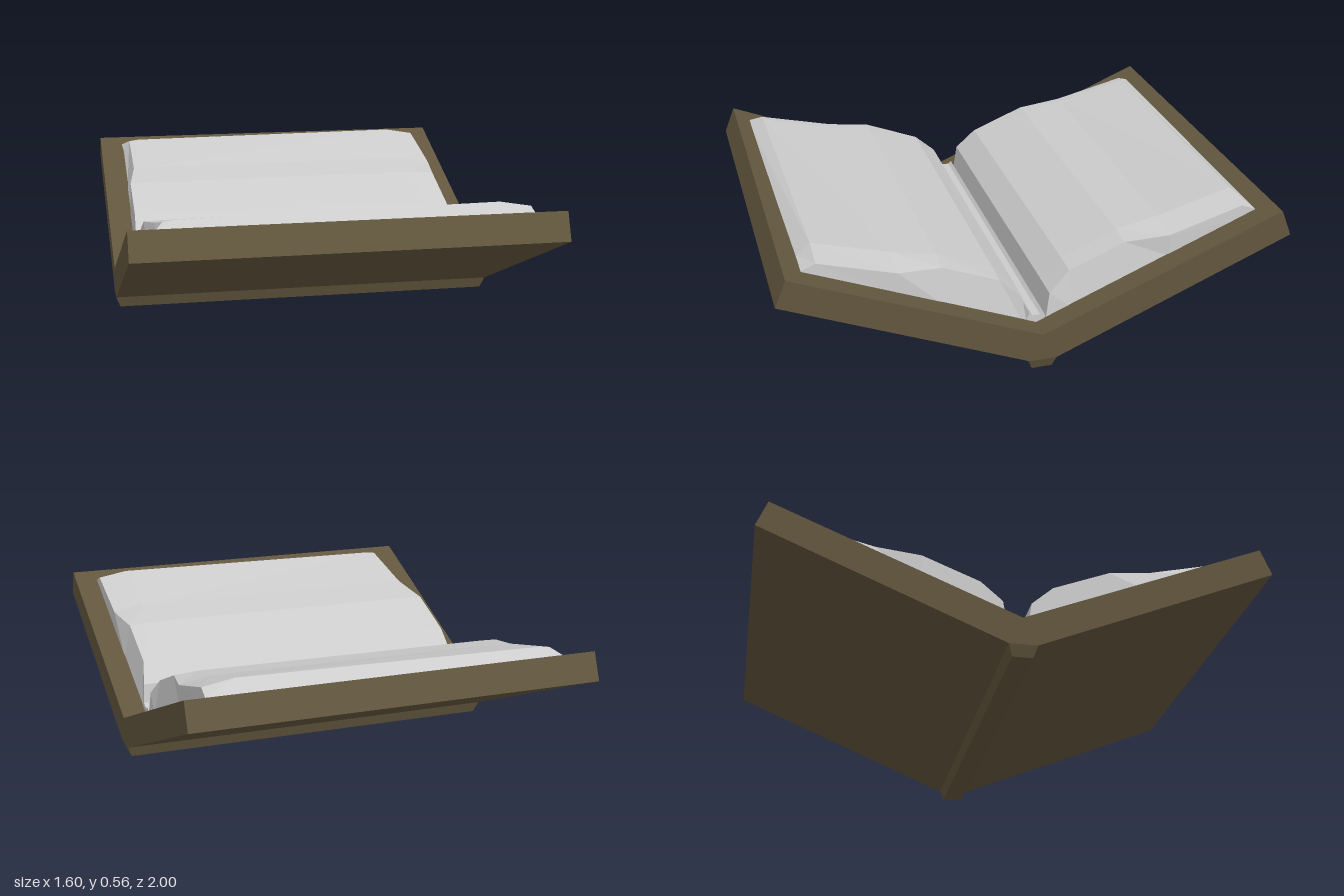
import * as THREE from 'three';

const WIDTH = 1.6;
const coverMat = new THREE.MeshStandardMaterial({ color: 0x62563d, flatShading: true });
const pageMat = new THREE.MeshStandardMaterial({ color: 0xcccccc, flatShading: true, side: THREE.DoubleSide });

// Height of the cover's inner face at distance z from the gutter
const coverTop = (z) => 0.155 + 0.406 * Math.abs(z);

function named(geometry, material, name) {
  const mesh = new THREE.Mesh(geometry, material);
  mesh.name = name;
  return mesh;
}

// Two boards opened in a V, as one extruded section
function makeCover() {
  const shape = new THREE.Shape([
    [-0.055, 0.045], [0.055, 0.045], [1, 0.44], [0.957, 0.546],
    [0, 0.155], [-0.957, 0.546], [-1, 0.44],
  ].map(([z, y]) => new THREE.Vector2(z, y)));
  const geo = new THREE.ExtrudeGeometry(shape, { depth: WIDTH, bevelEnabled: false });
  geo.translate(0, 0, -WIDTH / 2).rotateY(Math.PI / 2);
  return named(geo, coverMat, 'cover');
}

// Spine strip, tapered toward the ground
function makeSpine() {
  const geo = new THREE.BoxGeometry(WIDTH, 0.045, 0.11).translate(0, 0.0225, 0);
  const p = geo.attributes.position;
  for (let i = 0; i < p.count; i++) {
    if (p.getY(i) < 0.01) {
      p.setX(i, Math.sign(p.getX(i)) * 0.783);
      p.setZ(i, Math.sign(p.getZ(i)) * 0.04);
    }
  }
  return named(geo, coverMat, 'spine');
}

// Page block: sections from fore edge to gutter, mirrored to the other half
function makePages() {
  // z, ridge y, left edge x and y, right edge x and y
  const half = [
    [0.895, 0.520, -0.705, 0.520, 0.705, 0.520],
    [0.840, 0.563, -0.670, 0.545, 0.703, 0.542],
    [0.540, 0.479, -0.672, 0.472, 0.705, 0.456],
    [0.365, 0.445, -0.700, 0.437, 0.677, 0.437],
    [0.140, 0.351, -0.700, 0.347, 0.677, 0.347],
    [0.055, 0.272, -0.703, 0.270, 0.697, 0.270],
    [0.040, 0.170, -0.705, 0.170, 0.705, 0.170],
    [0.027, 0.200, -0.705, 0.200, 0.705, 0.200],
    [0.015, 0.187, -0.705, 0.187, 0.705, 0.187],
  ];
  const rows = [...half, ...half.map(([z, ...rest]) => [-z, ...rest]).reverse()];
  const positions = [];
  for (const [z, y, xl, yl, xr, yr] of rows) {
    const base = coverTop(z) - 0.01;
    const slant = Math.sign(z) * Math.min(0.006, Math.abs(z) * 0.008);
    positions.push(
      -0.705, base, z,
      xl, yl, z + slant,
      -0.63, yl + (y - yl) * 0.3, z + slant,
      0.58, y, z - slant,
      xr, yr, z - slant,
      0.705, base, z,
    );
  }
  const index = [];
  const cols = 6;
  for (let i = 0; i < rows.length - 1; i++) {
    for (let j = 0; j < cols - 1; j++) {
      const a = i * cols + j, b = a + 1, c = b + cols, d = a + cols;
      index.push(a, b, c, a, c, d);
    }
  }
  const geo = new THREE.BufferGeometry();
  geo.setAttribute('position', new THREE.Float32BufferAttribute(positions, 3));
  geo.setIndex(index);
  const flat = geo.toNonIndexed();
  flat.computeVertexNormals();
  return named(flat, pageMat, 'pages');
}

export function createModel() {
  const book = new THREE.Group();
  book.name = 'openBook';
  book.add(makeCover(), makeSpine(), makePages());
  return book;
}
